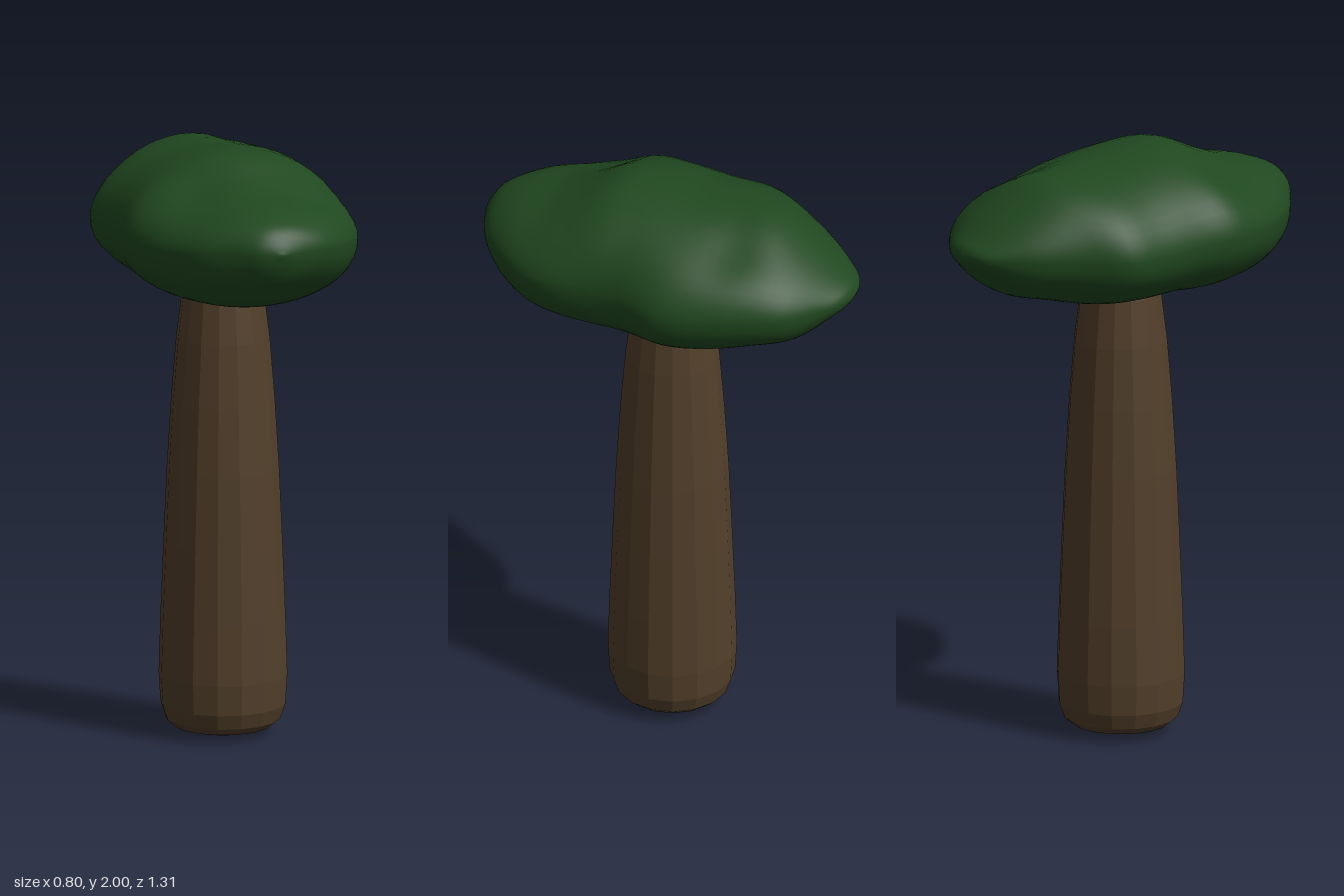
import * as THREE from 'three';
import { mergeVertices } from 'three/addons/utils/BufferGeometryUtils.js';

// Canopy sections from back to front: z, -x extent, +x extent, widest height, top, bottom
const SECTIONS = [
  [-0.655, 0, 0, 1.73, 1.73, 1.73],
  [-0.64, 0.07, 0.07, 1.73, 1.76, 1.7],
  [-0.6, 0.13, 0.14, 1.73, 1.79, 1.66],
  [-0.5, 0.22, 0.26, 1.73, 1.865, 1.58],
  [-0.37, 0.3, 0.33, 1.73, 1.945, 1.545],
  [-0.24, 0.385, 0.375, 1.72, 1.965, 1.515],
  [-0.1, 0.39, 0.4, 1.72, 1.975, 1.5],
  [0.05, 0.39, 0.375, 1.73, 1.995, 1.505],
  [0.18, 0.4, 0.37, 1.74, 1.995, 1.5],
  [0.3, 0.37, 0.365, 1.74, 1.945, 1.51],
  [0.4, 0.325, 0.34, 1.74, 1.905, 1.53],
  [0.51, 0.245, 0.27, 1.75, 1.88, 1.575],
  [0.6, 0.13, 0.18, 1.76, 1.845, 1.64],
  [0.64, 0.07, 0.08, 1.76, 1.8, 1.7],
  [0.657, 0, 0, 1.76, 1.76, 1.76],
];

// Shallow dents: centre x, y, z, radius, depth
const DENTS = [
  [0.2, 1.93, -0.3, 0.13, 0.03],
  [-0.2, 1.92, 0.27, 0.13, 0.03],
  [0.12, 1.72, 0.6, 0.1, 0.02],
  [0.36, 1.75, 0.13, 0.12, 0.015],
];

function canopyGeometry(rings = 56, sides = 48) {
  const spline = (a, b, c) => new THREE.CatmullRomCurve3(
    SECTIONS.map((s) => new THREE.Vector3(s[a], s[b], s[c])), false, 'catmullrom', 0.5);
  const plan = spline(0, 1, 2);
  const elevation = spline(3, 4, 5);
  const positions = [];
  const indices = [];
  const p = new THREE.Vector3();
  for (let i = 0; i <= rings; i++) {
    const w = plan.getPoint(i / rings);
    const h = elevation.getPoint(i / rings);
    for (let j = 0; j < sides; j++) {
      const a = (j / sides) * Math.PI * 2;
      const c = Math.cos(a);
      const s = Math.sin(a);
      // Slightly peaked crown, fuller underside
      const rise = s > 0 ? (h.y - h.x) * Math.pow(s, 1.12) : -(h.x - h.z) * Math.pow(-s, 0.88);
      p.set(c * (c > 0 ? w.z : w.y), h.x + rise, w.x);
      for (const [x, y, z, r, depth] of DENTS) {
        const d2 = (p.x - x) ** 2 + (p.y - y) ** 2 + (p.z - z) ** 2;
        const push = depth * Math.exp(-d2 / (r * r));
        p.x -= c * push;
        p.y -= s * push;
      }
      // Keep both tips as single points
      if (i === 0 || i === rings) p.set(0, h.x, w.x);
      positions.push(p.x, p.y, p.z);
    }
  }
  for (let i = 0; i < rings; i++) {
    for (let j = 0; j < sides; j++) {
      const k = (j + 1) % sides;
      const a = i * sides + j;
      const b = i * sides + k;
      indices.push(a, b, b + sides, a, b + sides, a + sides);
    }
  }
  const g = new THREE.BufferGeometry();
  g.setAttribute('position', new THREE.Float32BufferAttribute(positions, 3));
  g.setIndex(indices);
  const welded = mergeVertices(g, 1e-4);
  welded.computeVertexNormals();
  return welded;
}

export function createModel() {
  const model = new THREE.Group();
  model.name = 'tree';

  // Tapered trunk with a rounded foot, running up into the canopy
  const profile = [
    [0, 0], [0.1, 0.01], [0.16, 0.025], [0.19, 0.05], [0.207, 0.1], [0.213, 0.2],
    [0.207, 0.4], [0.197, 0.65], [0.186, 0.9], [0.172, 1.13], [0.155, 1.34],
    [0.135, 1.5], [0.11, 1.58], [0, 1.62],
  ].map(([r, y]) => new THREE.Vector2(r, y));
  const trunk = new THREE.Mesh(
    new THREE.LatheGeometry(profile, 16),
    new THREE.MeshStandardMaterial({ color: 0x523f2a, flatShading: true }));
  trunk.name = 'trunk';
  model.add(trunk);

  // Long, lumpy crown of leaves
  const canopy = new THREE.Mesh(
    canopyGeometry(),
    new THREE.MeshStandardMaterial({ color: 0x20481f }));
  canopy.name = 'canopy';
  model.add(canopy);

  return model;
}
